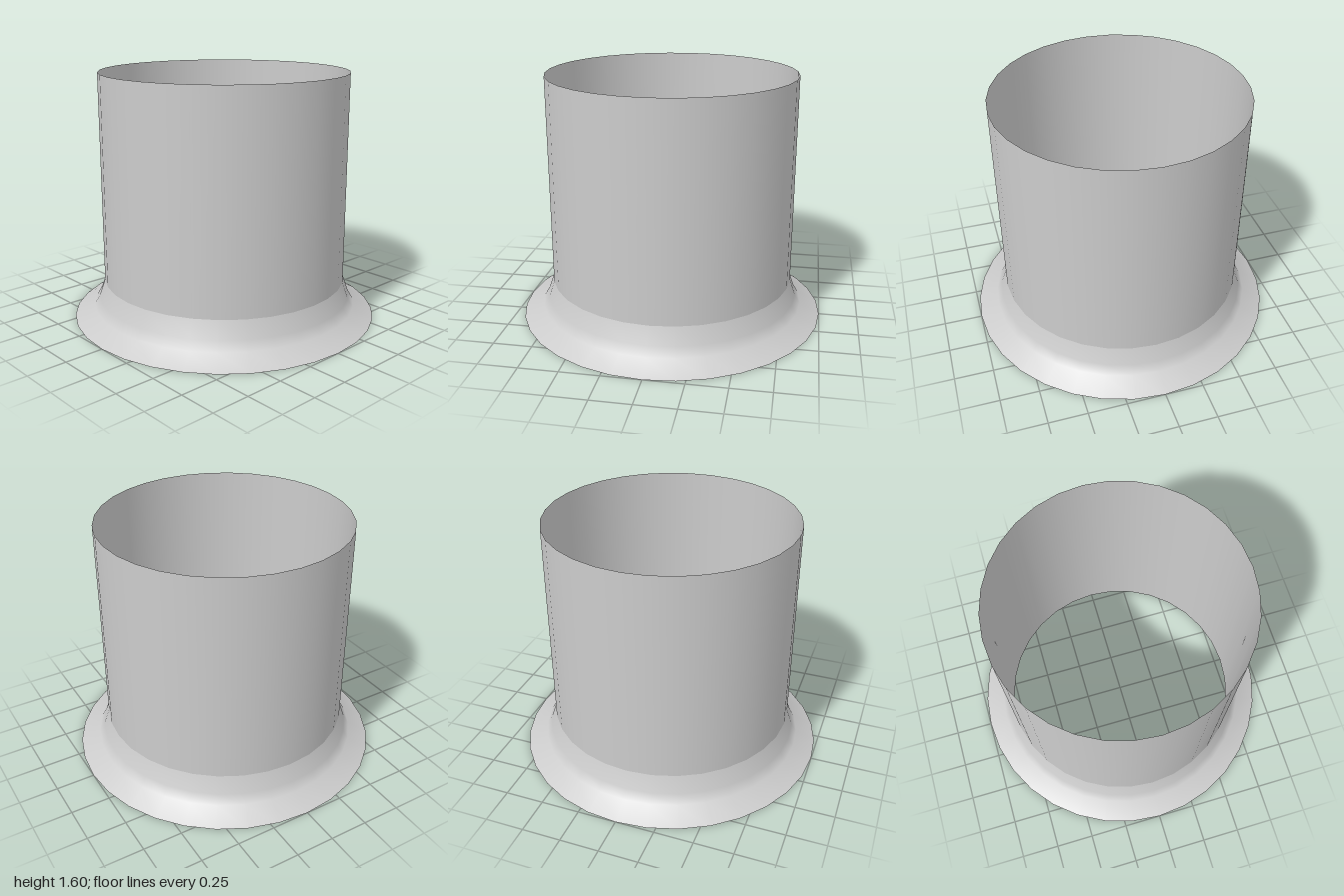
import * as THREE from 'three';

const SEGMENTS = 32;

export function createModel() {
  const model = new THREE.Group();
  model.name = 'flashedPipe';
  const material = new THREE.MeshStandardMaterial({ color: 0xcccccc, side: THREE.DoubleSide });

  // Open, thin-walled tube running the full height
  const tube = new THREE.Mesh(
    new THREE.CylinderGeometry(0.797, 0.797, 1.6, SEGMENTS, 1, true), material);
  tube.name = 'tube';
  tube.position.y = 0.8;
  model.add(tube);

  // Flared skirt around the base, open underneath
  const profile = [[1, 0], [0.87, 0.07], [0.835, 0.13], [0.797, 0.24]]
    .map(([r, y]) => new THREE.Vector2(r, y));
  const skirt = new THREE.Mesh(new THREE.LatheGeometry(profile, SEGMENTS), material);
  skirt.name = 'flaredSkirt';
  model.add(skirt);

  return model;
}
